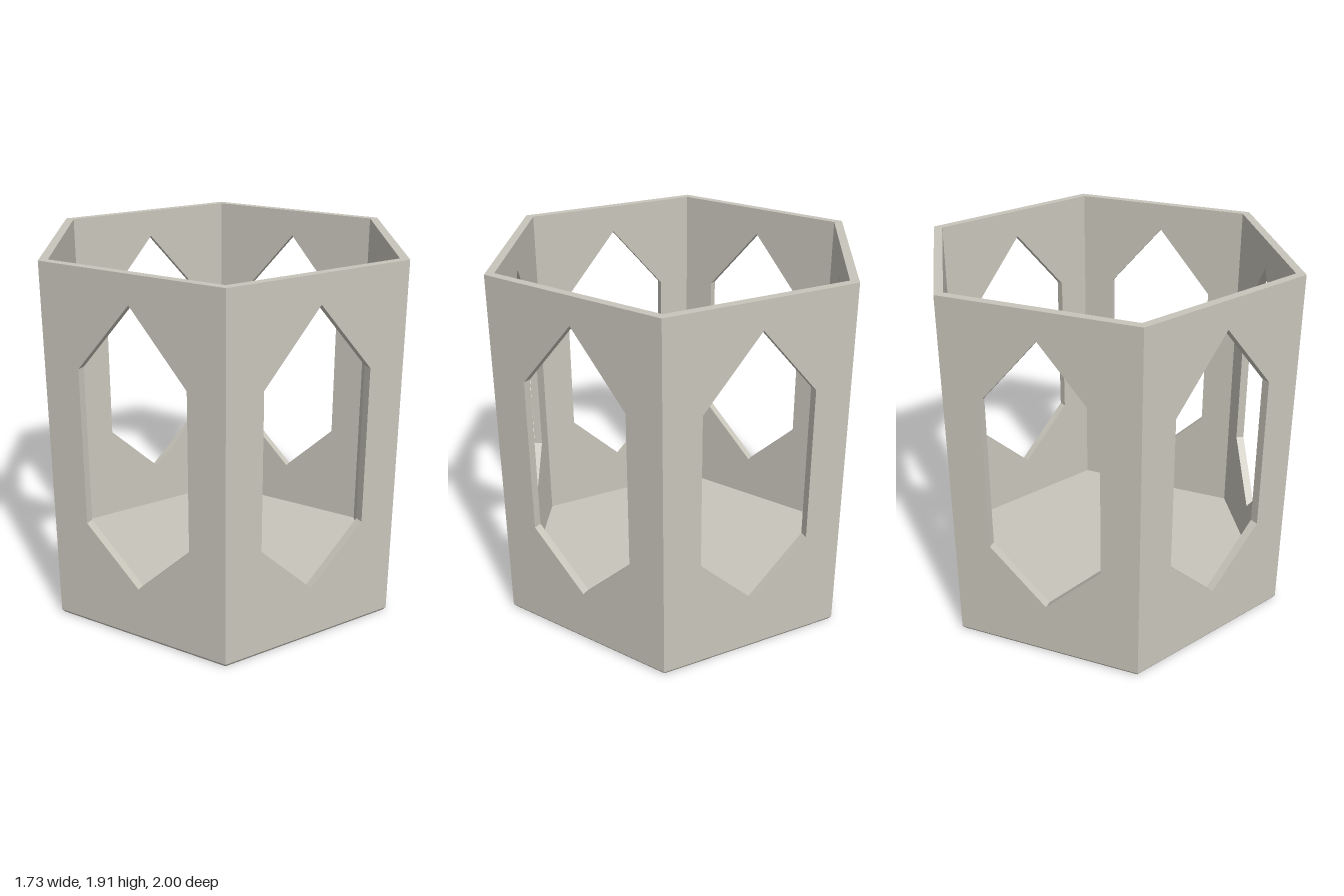
import * as THREE from 'three';

const RADIUS = 1, INNER = 0.95, HEIGHT = 1.915, BEVEL = 0.02, FLOOR = 0.042;
const APOTHEM = Math.cos(Math.PI / 6);

// One wall panel: rectangle with a pointed window, mitred to meet its neighbours
function panelGeometry() {
  const shape = new THREE.Shape([
    [-0.5, BEVEL], [0.5, BEVEL], [0.5, HEIGHT], [-0.5, HEIGHT],
  ].map(([x, y]) => new THREE.Vector2(x, y)));
  shape.holes.push(new THREE.Path([
    [0, 0.295], [-0.3, 0.592], [-0.3, 1.415], [0, 1.77], [0.3, 1.415], [0.3, 0.592],
  ].map(([x, y]) => new THREE.Vector2(x, y))));

  const depth = (RADIUS - INNER) * APOTHEM;
  const geometry = new THREE.ExtrudeGeometry(shape, { depth, bevelEnabled: false });
  const p = geometry.attributes.position;
  for (let i = 0; i < p.count; i++) {
    // narrow the inner side edges for the mitre
    if (Math.abs(p.getX(i)) > 0.49 && p.getZ(i) < depth / 2) p.setX(i, p.getX(i) * INNER);
  }
  geometry.translate(0, 0, INNER * APOTHEM);
  geometry.computeVertexNormals();
  return geometry;
}

export function createModel() {
  const model = new THREE.Group();
  model.name = 'hexagonalLantern';
  const stone = new THREE.MeshStandardMaterial({ color: 0xc8c5bb, flatShading: true });
  stone.name = 'warmGrey';

  // Six windowed walls
  const geometry = panelGeometry();
  for (let i = 0; i < 6; i++) {
    const wall = new THREE.Mesh(geometry, stone);
    wall.name = `wall${i + 1}`;
    wall.rotation.y = Math.PI / 6 + (i * Math.PI) / 3;
    model.add(wall);
  }

  // Chamfered base and the raised floor inside the walls
  const base = new THREE.Mesh(new THREE.CylinderGeometry(RADIUS, 0.983, BEVEL, 6), stone);
  base.name = 'base';
  base.position.y = BEVEL / 2;
  const floor = new THREE.Mesh(new THREE.CylinderGeometry(INNER, INNER, FLOOR - BEVEL, 6), stone);
  floor.name = 'floor';
  floor.position.y = (FLOOR + BEVEL) / 2;
  model.add(base, floor);

  return model;
}
